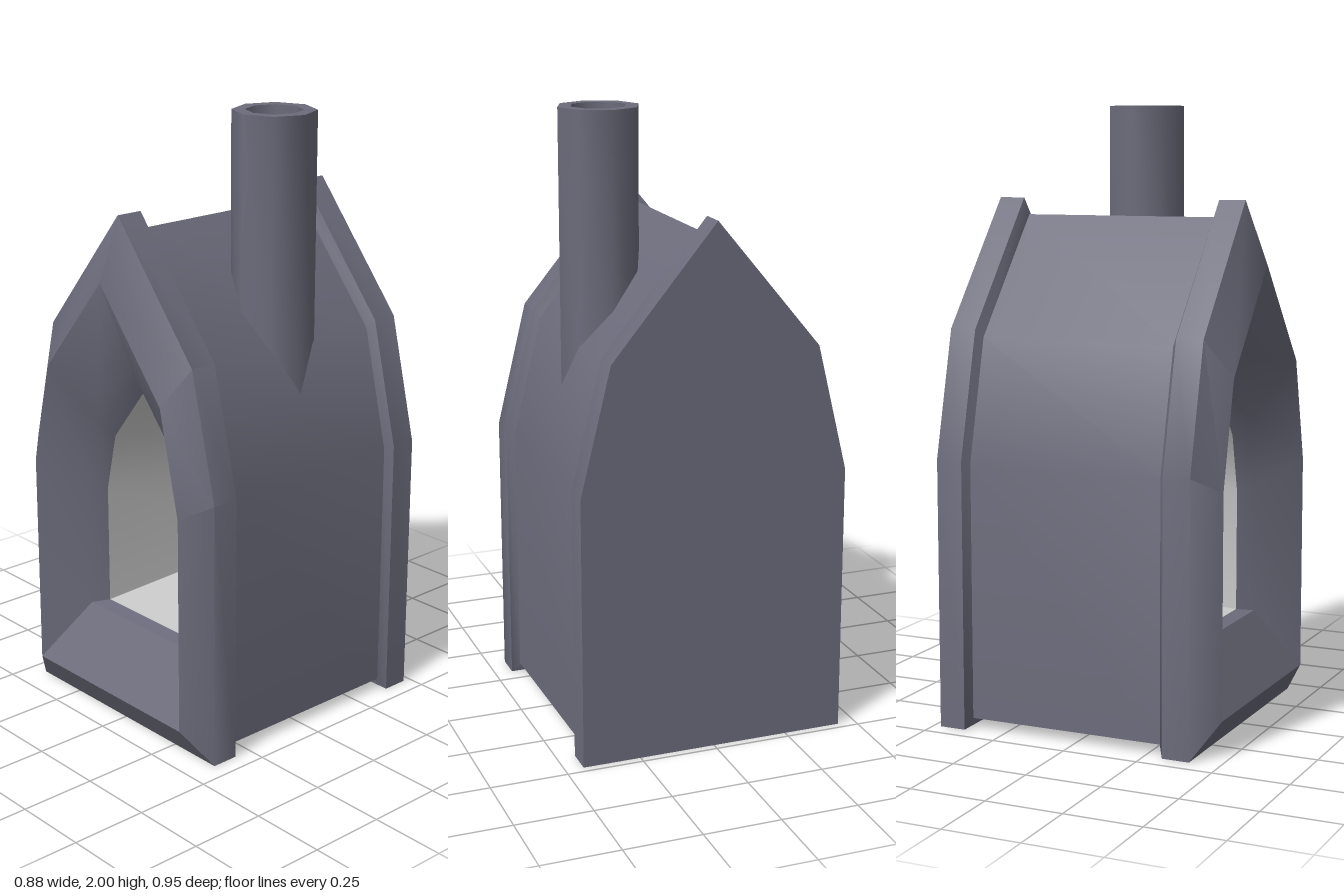
import * as THREE from 'three';
import { toCreasedNormals } from 'three/addons/utils/BufferGeometryUtils.js';

const CREASE = THREE.MathUtils.degToRad(50);

// Pointed-arch cross-section, counter-clockwise seen from the front.
// pts: right-hand half from the bottom corner up to the shoulder, then the apex height.
function arch(pts, apex) {
  const left = pts.map(([x, y]) => [-x, y]).reverse();
  return [...pts, [0, apex], ...left];
}

// Skin a list of { z, ring } sections, with optional flat caps at both ends.
function loft(sections, { capStart = false, capEnd = false } = {}) {
  const n = sections[0].ring.length;
  const pos = [], index = [];
  for (const { z, ring } of sections) for (const [x, y] of ring) pos.push(x, y, z);
  for (let k = 0; k < sections.length - 1; k++) {
    for (let i = 0; i < n; i++) {
      const j = (i + 1) % n;
      const a = k * n + i, b = k * n + j, c = b + n, d = a + n;
      index.push(a, b, c, a, c, d);
    }
  }
  const last = (sections.length - 1) * n;
  for (let i = 1; i < n - 1; i++) {
    if (capStart) index.push(0, i + 1, i);
    if (capEnd) index.push(last, last + i, last + i + 1);
  }
  const geo = new THREE.BufferGeometry();
  geo.setAttribute('position', new THREE.Float32BufferAttribute(pos, 3));
  geo.setIndex(index);
  return toCreasedNormals(geo, CREASE);
}

export function createModel() {
  const group = new THREE.Group();
  const iron = new THREE.MeshStandardMaterial({ color: 0x6c6c7c });
  const grey = new THREE.MeshStandardMaterial({ color: 0xcccccc });

  const add = (name, geo, mat) => {
    const mesh = new THREE.Mesh(geo, mat);
    mesh.name = name;
    group.add(mesh);
    return mesh;
  };

  const rim = arch([[0.44, 0], [0.44, 0.88], [0.34, 1.29]], 1.7);
  const wall = arch([[0.415, 0.035], [0.415, 0.87], [0.32, 1.265]], 1.645);
  const lip = arch([[0.357, 0.115], [0.357, 0.83], [0.278, 1.17]], 1.5);
  const throat = arch([[0.235, 0.32], [0.235, 0.745], [0.18, 0.98]], 1.19);
  const mouth = arch([[0.2, 0.327], [0.2, 0.73], [0.155, 0.925]], 1.12);
  const back = arch([[0.17, 0.37], [0.17, 0.71], [0.13, 0.87]], 1.03);

  // Outer shell: back rim, recessed walls, front rim, bevel and funnel
  add('shell', loft([
    { z: -0.475, ring: rim },
    { z: -0.387, ring: rim },
    { z: -0.368, ring: wall },
    { z: 0.292, ring: wall },
    { z: 0.31, ring: rim },
    { z: 0.4, ring: rim },
    { z: 0.475, ring: lip },
    { z: 0.35, ring: throat },
    { z: 0.3, ring: mouth },
  ], { capStart: true }), iron);

  // Tapering chamber behind the mouth
  add('chamber', loft([
    { z: 0.3, ring: mouth },
    { z: -0.4, ring: back },
  ], { capEnd: true }), grey);

  // Eight-sided hollow chimney sunk into the roof
  const profile = [[0.132, 1.08], [0.132, 2], [0.09, 2], [0.09, 1.41], [0, 1.41]]
    .map(([r, y]) => new THREE.Vector2(r, y));
  const chimney = add('chimney',
    toCreasedNormals(new THREE.LatheGeometry(profile, 8), CREASE), iron);
  chimney.position.set(0.223, 0, -0.04);

  return group;
}
